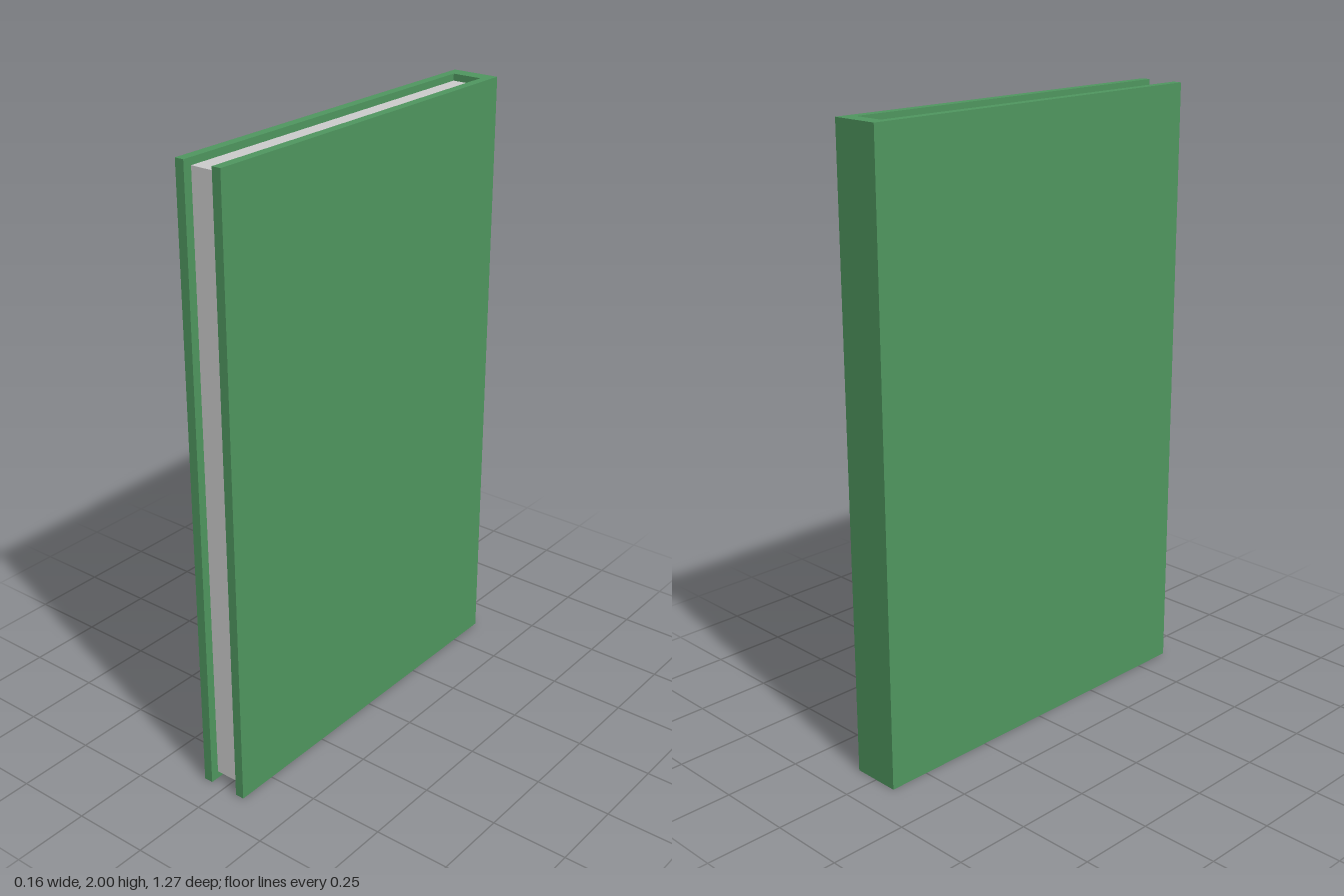
import * as THREE from 'three';

const HEIGHT = 2;
const HALF_WIDTH = 0.08;   // outer half thickness of the book
const HALF_DEPTH = 0.634;
const INNER = 0.05;        // half thickness of the page block
const SPINE_Z = -0.585;    // inner face of the spine

export function createModel() {
  const book = new THREE.Group();
  book.name = 'book';

  // Cover: a U-shaped plan (two boards and the spine) extruded upwards
  const plan = new THREE.Shape([
    [-HALF_WIDTH, -HALF_DEPTH], [-INNER, -HALF_DEPTH], [-INNER, -SPINE_Z],
    [INNER, -SPINE_Z], [INNER, -HALF_DEPTH], [HALF_WIDTH, -HALF_DEPTH],
    [HALF_WIDTH, HALF_DEPTH], [-HALF_WIDTH, HALF_DEPTH],
  ].map(([x, y]) => new THREE.Vector2(x, y)));
  const coverGeometry = new THREE.ExtrudeGeometry(plan, { depth: HEIGHT, bevelEnabled: false });
  coverGeometry.rotateX(-Math.PI / 2);
  const cover = new THREE.Mesh(coverGeometry, new THREE.MeshStandardMaterial({ color: 0x4f965f }));
  cover.name = 'cover';
  book.add(cover);

  // Page block, slightly recessed at the top, bottom and fore edge
  const [bottom, top, front] = [0.025, 1.978, 0.606];
  const pages = new THREE.Mesh(
    new THREE.BoxGeometry(INNER * 2, top - bottom, front - SPINE_Z),
    new THREE.MeshStandardMaterial({ color: 0xcccccc }),
  );
  pages.position.set(0, (top + bottom) / 2, (front + SPINE_Z) / 2);
  pages.name = 'pages';
  book.add(pages);

  return book;
}
